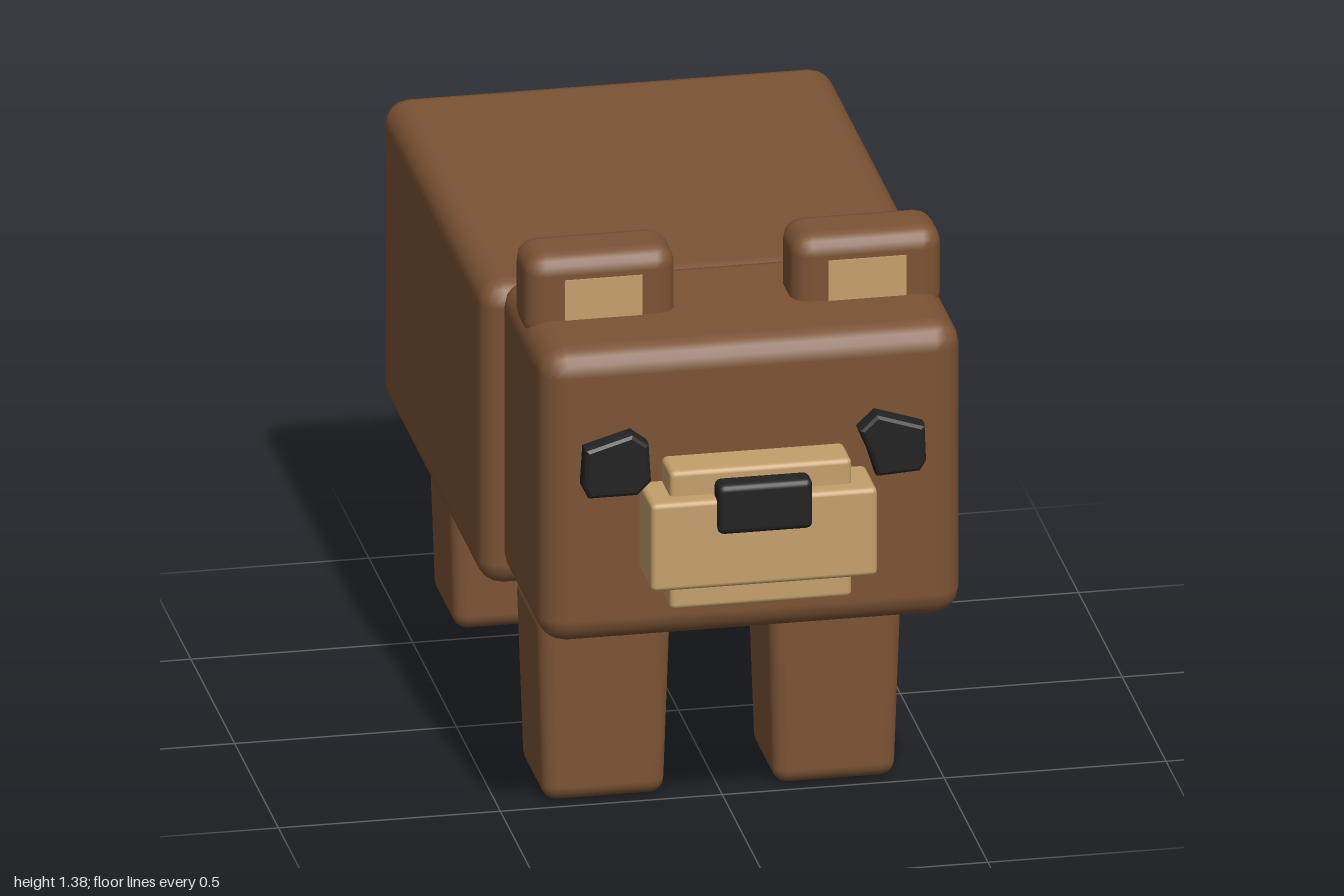
import * as THREE from 'three';
import { RoundedBoxGeometry } from 'three/addons/geometries/RoundedBoxGeometry.js';

const mat = (name, color) => new THREE.MeshStandardMaterial({ name, color });

export function createModel() {
  const model = new THREE.Group();
  model.name = 'bear';
  const brown = mat('brown fur', 0x7b5334);
  const tan = mat('tan muzzle', 0xc4a06c);
  const black = mat('black', 0x222222);

  const add = (name, geometry, material) => {
    const mesh = new THREE.Mesh(geometry, material);
    mesh.name = name;
    model.add(mesh);
    return mesh;
  };

  // Softened box given by its minimum and maximum on each axis
  const block = ([x0, x1], [y0, y1], [z0, z1], r) => {
    const g = new RoundedBoxGeometry(x1 - x0, y1 - y0, z1 - z0, 2, r);
    return g.translate((x0 + x1) / 2, (y0 + y1) / 2, (z0 + z1) / 2);
  };

  // Move every vertex by a rule
  const reshape = (g, rule) => {
    const p = g.attributes.position;
    const v = new THREE.Vector3();
    for (let i = 0; i < p.count; i++) {
      rule(v.fromBufferAttribute(p, i));
      p.setXYZ(i, v.x, v.y, v.z);
    }
    return g;
  };

  // Body and head
  add('body', block([-0.505, 0.505], [0.45, 1.175], [-0.84, 0.31], 0.055), brown);
  add('head', block([-0.475, 0.475], [0.525, 1.225], [0.36, 0.85], 0.06), brown);

  // Tail: a block sheared upwards towards its tip
  const tail = block([-0.195, 0.195], [0.8, 1.03], [-1, -0.81], 0.025);
  add('tail', reshape(tail, (v) => { v.y += (-0.84 - v.z) * 0.36; }), brown);

  for (const side of [1, -1]) {
    const label = side > 0 ? 'left' : 'right';
    const span = (a, b) => (side > 0 ? [a, b] : [-b, -a]);

    // Legs, narrowing slightly to the feet
    for (const [end, z0, z1] of [['Front', 0.2, 0.49], ['Back', -0.81, -0.525]]) {
      const leg = block(span(0.11, 0.41), [0, 0.45], [z0, z1], 0.035);
      const cx = side * 0.26, cz = (z0 + z1) / 2;
      reshape(leg, (v) => {
        const k = v.y < 0.2 ? 0.92 : 1;
        v.x = cx + (v.x - cx) * k;
        v.z = cz + (v.z - cz) * k;
      });
      add(label + end + 'Leg', leg, brown);
    }

    // Ear with a thin inner panel
    add(label + 'Ear', block(span(0.13, 0.47), [1.17, 1.375], [0.49, 0.65], 0.045), brown);
    const inner = new THREE.BoxGeometry(0.175, 0.11, 0.009);
    add(label + 'InnerEar', inner.translate(side * 0.297, 1.265, 0.649), tan);
  }

  // Muzzle and nose
  add('muzzleTall', block([-0.205, 0.205], [0.635, 0.965], [0.8, 0.945], 0.012), tan);
  add('muzzleWide', block([-0.255, 0.255], [0.697, 0.907], [0.8, 0.985], 0.012), tan);
  add('nose', block([-0.107, 0.107], [0.827, 0.945], [0.94, 1], 0.015), black);

  // Irregular raised eyes
  const eyes = {
    rightEye: [[-0.37, 0.9], [-0.27, 0.9], [-0.245, 0.925], [-0.25, 1.005], [-0.28, 1.028],
      [-0.375, 1.0], [-0.38, 0.92]],
    leftEye: [[0.28, 0.903], [0.365, 0.908], [0.375, 0.925], [0.372, 1.0], [0.275, 1.032],
      [0.244, 1.003], [0.264, 0.955]],
  };
  for (const [name, points] of Object.entries(eyes)) {
    const shape = new THREE.Shape(points.map(([x, y]) => new THREE.Vector2(x, y)));
    const eye = new THREE.ExtrudeGeometry(shape, {
      depth: 0.025, bevelThickness: 0.015, bevelSize: 0.01, bevelSegments: 2,
    });
    add(name, eye.translate(0, 0, 0.85), black);
  }
  return model;
}
